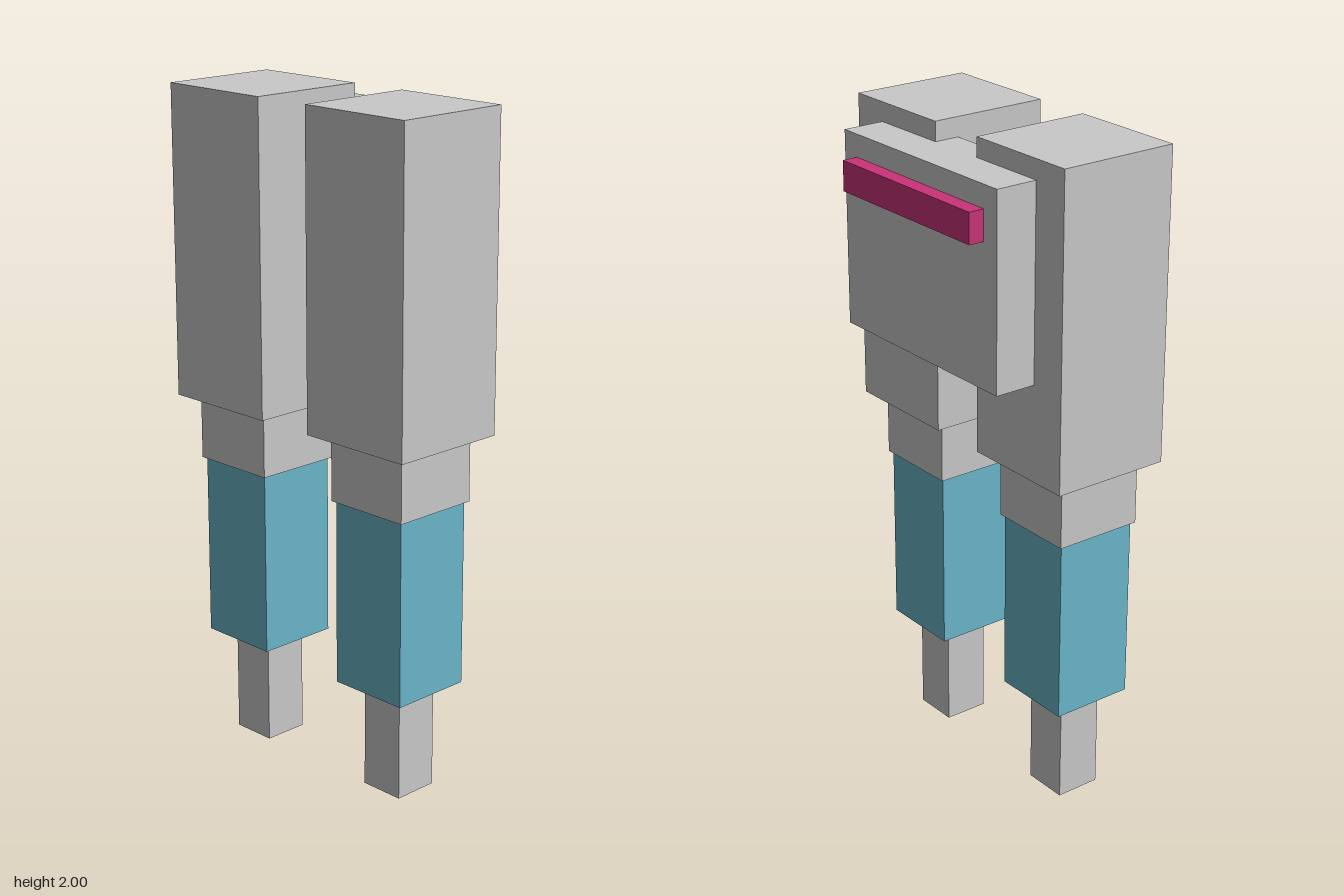
import * as THREE from 'three';

const mat = (name, color) => {
  const m = new THREE.MeshStandardMaterial({ color });
  m.name = name;
  return m;
};

export function createModel() {
  const grey = mat('light grey', 0xc9c9c9);
  const teal = mat('teal blue', 0x6bb6ca);
  const pink = mat('magenta', 0xc93378);

  // Box given by its width, depth, bottom, top and centre in x and z
  const box = (name, material, w, d, y0, y1, x, z) => {
    const mesh = new THREE.Mesh(new THREE.BoxGeometry(w, y1 - y0, d), material);
    mesh.name = name;
    mesh.position.set(x, (y0 + y1) / 2, z);
    return mesh;
  };

  const model = new THREE.Group();
  model.name = 'twinThrusterPack';

  // Two stepped square columns, mirrored across x
  for (const [side, s] of [['left', 1], ['right', -1]]) {
    const column = new THREE.Group();
    column.name = side + 'Column';
    column.position.set(s * 0.278, 0, 0.087);
    column.add(
      box('tank', grey, 0.37, 0.37, 1.075, 2, 0, 0),
      box('collar', grey, 0.275, 0.275, 0.88, 1.075, 0, 0),
      box('sleeve', teal, 0.255, 0.255, 0.325, 0.88, 0, 0),
      box('nozzle', grey, 0.14, 0.14, 0, 0.325, 0, 0),
    );
    model.add(column);
  }

  // Plate joining the columns at the back, with its raised strip
  model.add(
    box('backPlate', grey, 0.694, 0.206, 1.365, 1.942, 0, -0.123),
    box('backStrip', pink, 0.58, 0.047, 1.785, 1.875, 0, -0.2495),
  );
  return model;
}
